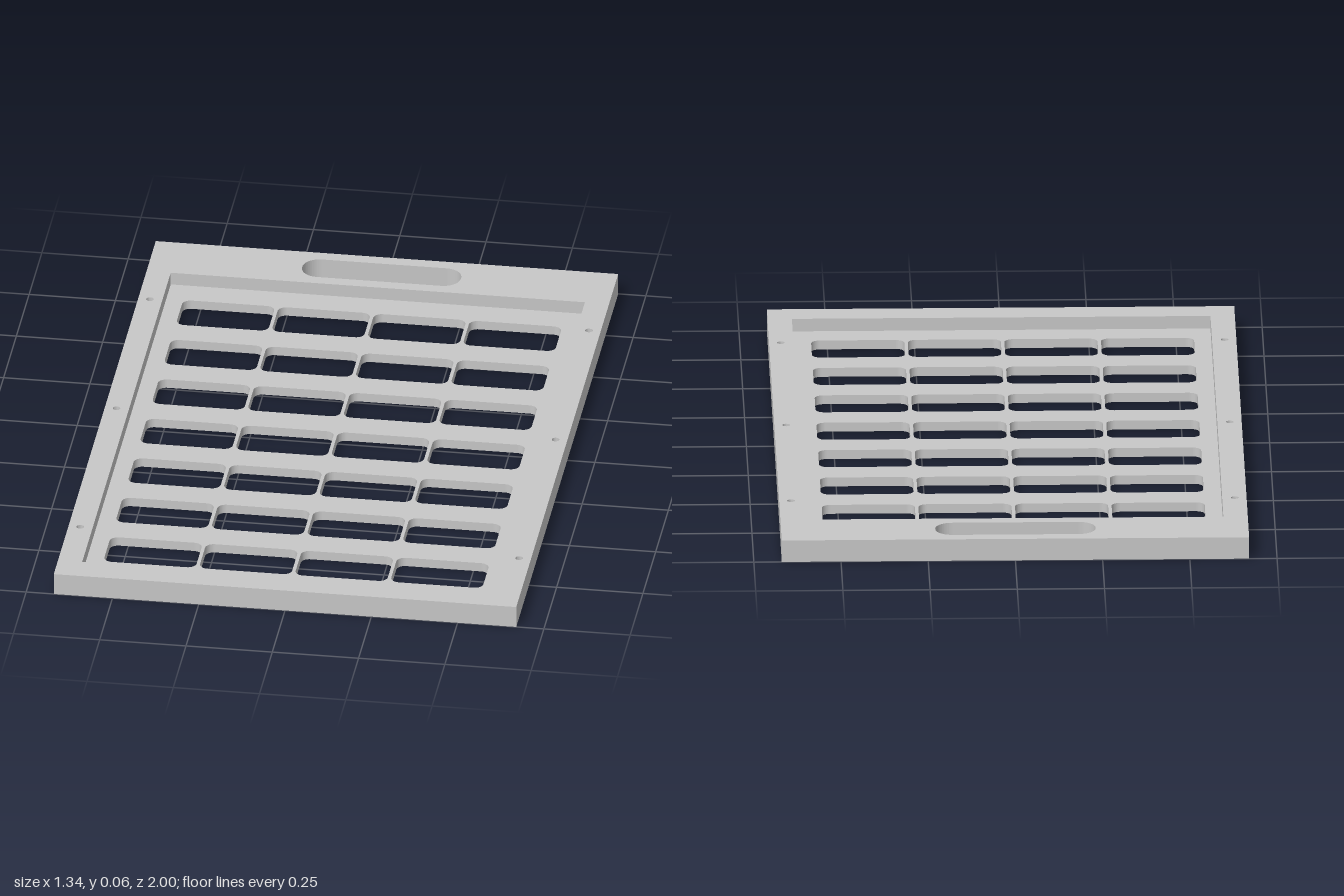
import * as THREE from 'three';

const HEIGHT = 0.065, FLOOR = 0.027;

// Rounded rectangle in plan, centred on (cx, cz); r = 0 gives sharp corners
function roundedRect(path, cx, cz, w, d, r) {
  const x = w / 2, z = d / 2;
  if (r === 0) {
    path.moveTo(cx - x, cz - z).lineTo(cx + x, cz - z);
    path.lineTo(cx + x, cz + z).lineTo(cx - x, cz + z);
  } else {
    path.absarc(cx + x - r, cz - z + r, r, -Math.PI / 2, 0);
    path.absarc(cx + x - r, cz + z - r, r, 0, Math.PI / 2);
    path.absarc(cx - x + r, cz + z - r, r, Math.PI / 2, Math.PI);
    path.absarc(cx - x + r, cz - z + r, r, Math.PI, Math.PI * 1.5);
  }
  path.closePath();
  return path;
}

// Outer outline with the carrying slot already cut
function panelShape() {
  const shape = roundedRect(new THREE.Shape(), 0, 0, 1.34, 2, 0);
  shape.holes.push(roundedRect(new THREE.Path(), -0.002, -0.909, 0.46, 0.105, 0.05));
  return shape;
}

// Extrude a plan shape between two heights
function layer(name, shape, bottom, top, material) {
  const geometry = new THREE.ExtrudeGeometry(shape, {
    depth: top - bottom, bevelEnabled: false, curveSegments: 8,
  });
  geometry.rotateX(Math.PI / 2).translate(0, top, 0);
  const mesh = new THREE.Mesh(geometry, material);
  mesh.name = name;
  return mesh;
}

export function createModel() {
  const grey = new THREE.MeshStandardMaterial({ color: 0xc7c7c7 });
  grey.name = 'lightGrey';
  const group = new THREE.Group();
  group.name = 'windowedTray';

  // Thin floor with a 4 by 7 grid of windows
  const floor = panelShape();
  for (let row = 0; row < 7; row++) {
    for (let col = 0; col < 4; col++) {
      floor.holes.push(roundedRect(new THREE.Path(),
        (col - 1.5) * 0.277 - 0.002, -0.66 + row * 0.237, 0.267, 0.147, 0.025));
    }
  }
  group.add(layer('windowFloor', floor, 0, FLOOR, grey));

  // Raised frame around the recess, with blind screw holes along both sides
  const frame = panelShape();
  frame.holes.push(roundedRect(new THREE.Path(), 0, 0.048, 1.2, 1.736, 0));
  for (const x of [-0.636, 0.636]) {
    for (const z of [-0.656, -0.001, 0.711]) {
      const hole = new THREE.Path();
      hole.absarc(x, z, 0.011, 0, Math.PI * 2);
      frame.holes.push(hole);
    }
  }
  group.add(layer('raisedFrame', frame, FLOOR, HEIGHT, grey));

  return group;
}
